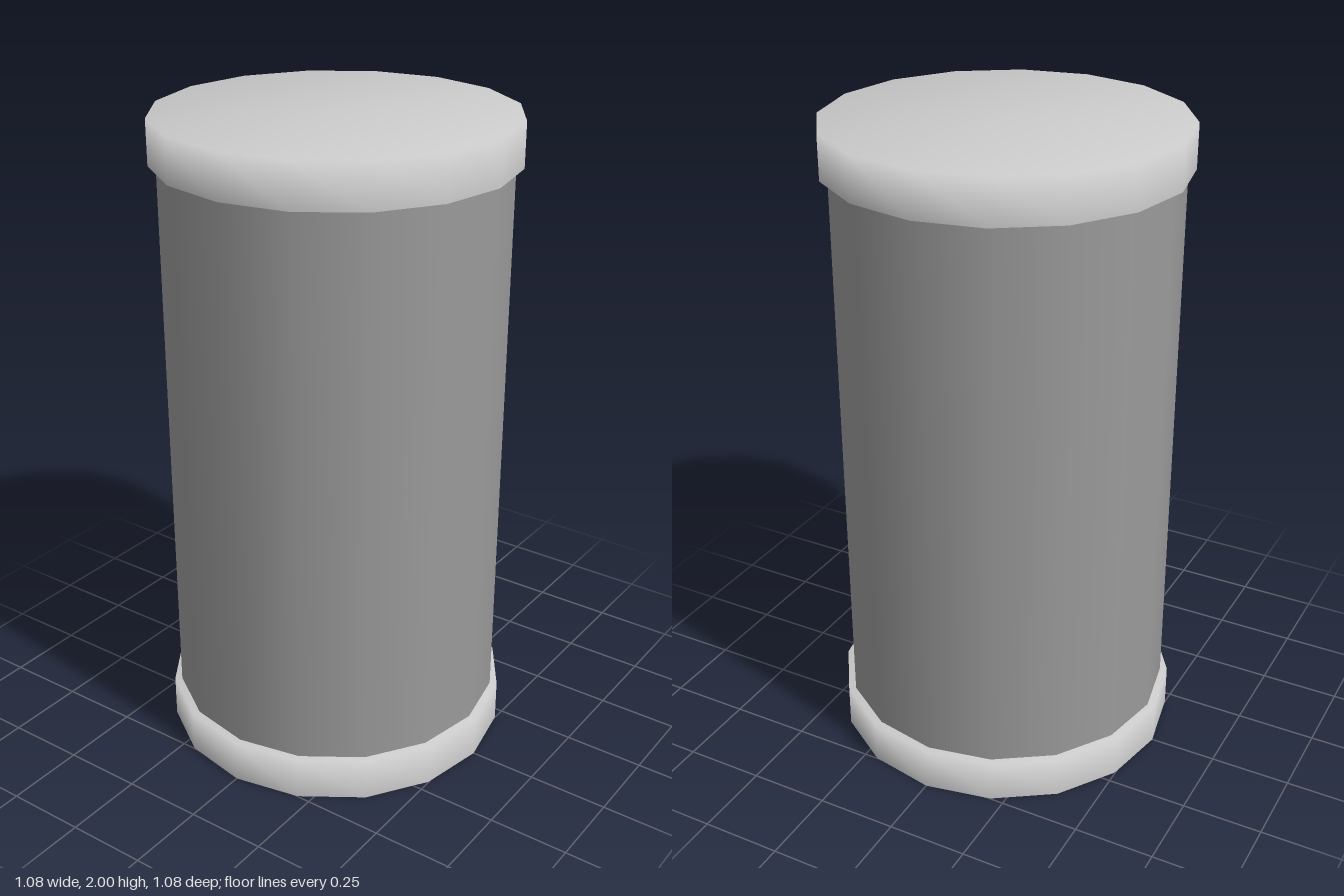
import * as THREE from 'three';
import { mergeGeometries } from 'three/addons/utils/BufferGeometryUtils.js';

const SIDES = 16;
const HEIGHT = 2;
const CAP_RADIUS = 0.54;
const CAP_HEIGHT = 0.135;
const BODY_RADIUS = 0.517;

// End cap: top and side share smooth normals, the underside is flat
function capGeometry() {
  const shell = new THREE.LatheGeometry([
    new THREE.Vector2(CAP_RADIUS, 0),
    new THREE.Vector2(CAP_RADIUS, CAP_HEIGHT),
    new THREE.Vector2(0, CAP_HEIGHT),
  ], SIDES);
  const underside = new THREE.CircleGeometry(CAP_RADIUS, SIDES).rotateX(Math.PI / 2);
  return mergeGeometries([shell, underside]);
}

export function createModel() {
  const group = new THREE.Group();
  group.name = 'cappedCylinder';

  // Darker smooth body between the caps
  const body = new THREE.Mesh(
    new THREE.CylinderGeometry(BODY_RADIUS, BODY_RADIUS, HEIGHT - 2 * CAP_HEIGHT, SIDES, 1, true),
    new THREE.MeshStandardMaterial({ color: 0x9a9a9a })
  );
  body.name = 'body';
  body.position.y = HEIGHT / 2;
  group.add(body);

  // Two identical caps
  const capMaterial = new THREE.MeshStandardMaterial({ color: 0xcccccc });
  const geometry = capGeometry();
  for (const [name, y] of [['bottomCap', 0], ['topCap', HEIGHT - CAP_HEIGHT]]) {
    const cap = new THREE.Mesh(geometry, capMaterial);
    cap.name = name;
    cap.position.y = y;
    group.add(cap);
  }

  return group;
}
